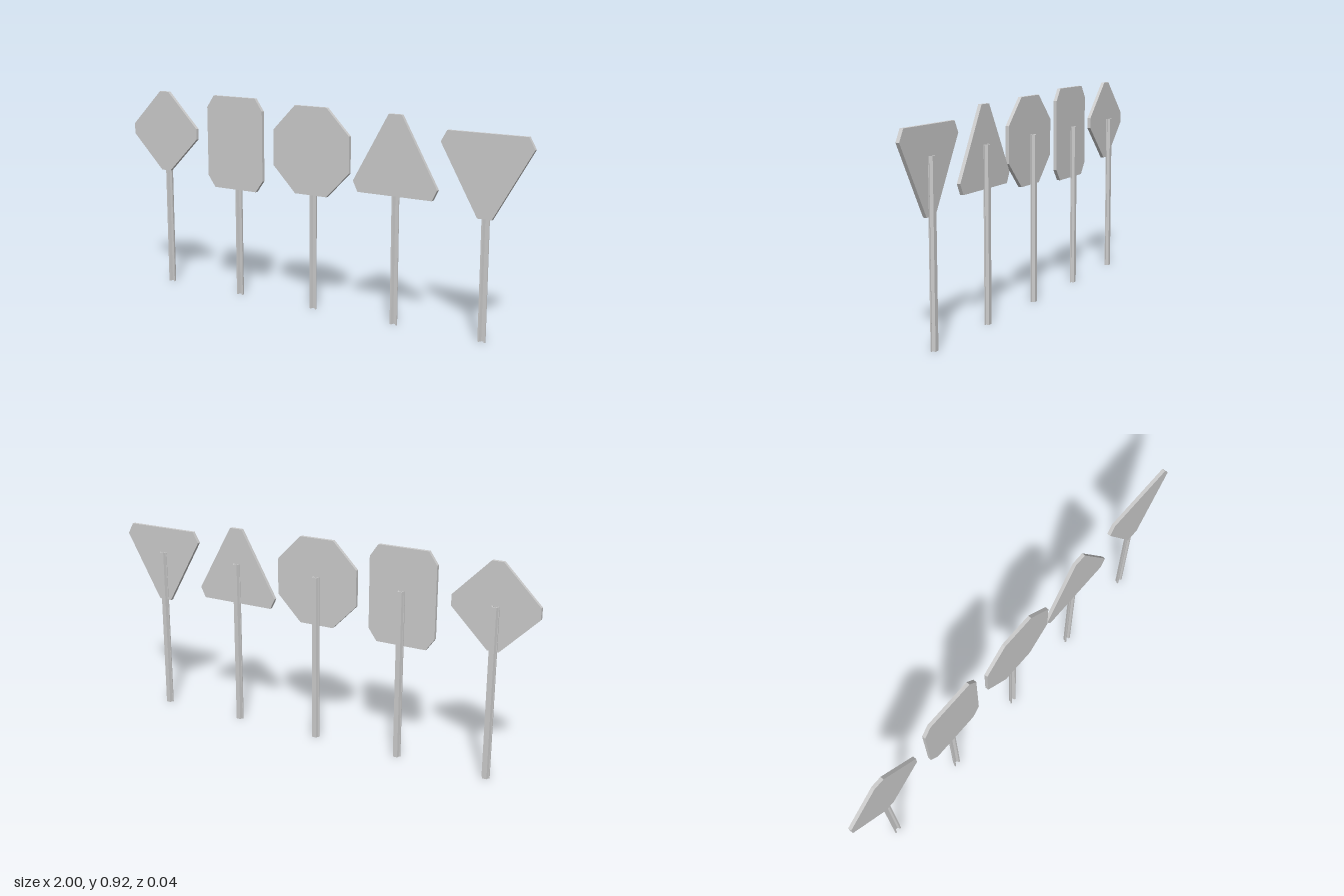
import * as THREE from 'three';

const material = new THREE.MeshStandardMaterial({ color: 0xcccccc, flatShading: true });

function extrude(points, depth) {
  const shape = new THREE.Shape(points.map(([x, y]) => new THREE.Vector2(x, y)));
  return new THREE.ExtrudeGeometry(shape, { depth, bevelEnabled: false });
}

// Mirror the right half of an outline (listed bottom to top) to the left
function mirrored(half) {
  return [...half, ...half.map(([x, y]) => [-x, y]).reverse()];
}

// Half outlines of the plates: x from the plate centre, y from the ground
const signs = [
  { name: 'diamondSign', x: -0.814, postX: -0.818, z: 0.004,
    half: [[0.025, 0.548], [0.186, 0.708], [0.186, 0.756], [0.025, 0.917]] },
  { name: 'rectangleSign', x: -0.411, postX: -0.411, z: 0.004,
    half: [[0.113, 0.499], [0.151, 0.551], [0.151, 0.863], [0.113, 0.917]] },
  { name: 'octagonSign', x: -0.006, postX: -0.01, z: 0.005,
    half: [[0.08, 0.519], [0.192, 0.632], [0.192, 0.79], [0.08, 0.903]] },
  { name: 'triangleSign', x: 0.397, postX: 0.396, z: -0.005,
    half: [[0.174, 0.558], [0.197, 0.604], [0.03, 0.898]] },
  { name: 'invertedTriangleSign', x: 0.802, postX: 0.801, z: -0.005,
    half: [[0.031, 0.512], [0.198, 0.805], [0.171, 0.853]] },
];

export function createModel() {
  const model = new THREE.Group();
  model.name = 'roadSigns';

  // Hat-section channel post, open to the front with a flange on each side
  const postGeometry = extrude(mirrored([
    [0.006, 0.016], [0.01, 0.003], [0.017, 0.003],
    [0.017, 0.008], [0.0135, 0.008], [0.01, 0.021],
  ]), 0.738);
  postGeometry.rotateX(-Math.PI / 2);

  for (const { name, x, postX, z, half } of signs) {
    const sign = new THREE.Group();
    sign.name = name;

    const plate = new THREE.Mesh(extrude(mirrored(half), 0.0155), material);
    plate.name = 'plate';
    plate.position.set(x, 0, z);

    const post = new THREE.Mesh(postGeometry, material);
    post.name = 'post';
    post.position.x = postX;

    sign.add(plate, post);
    model.add(sign);
  }
  return model;
}
